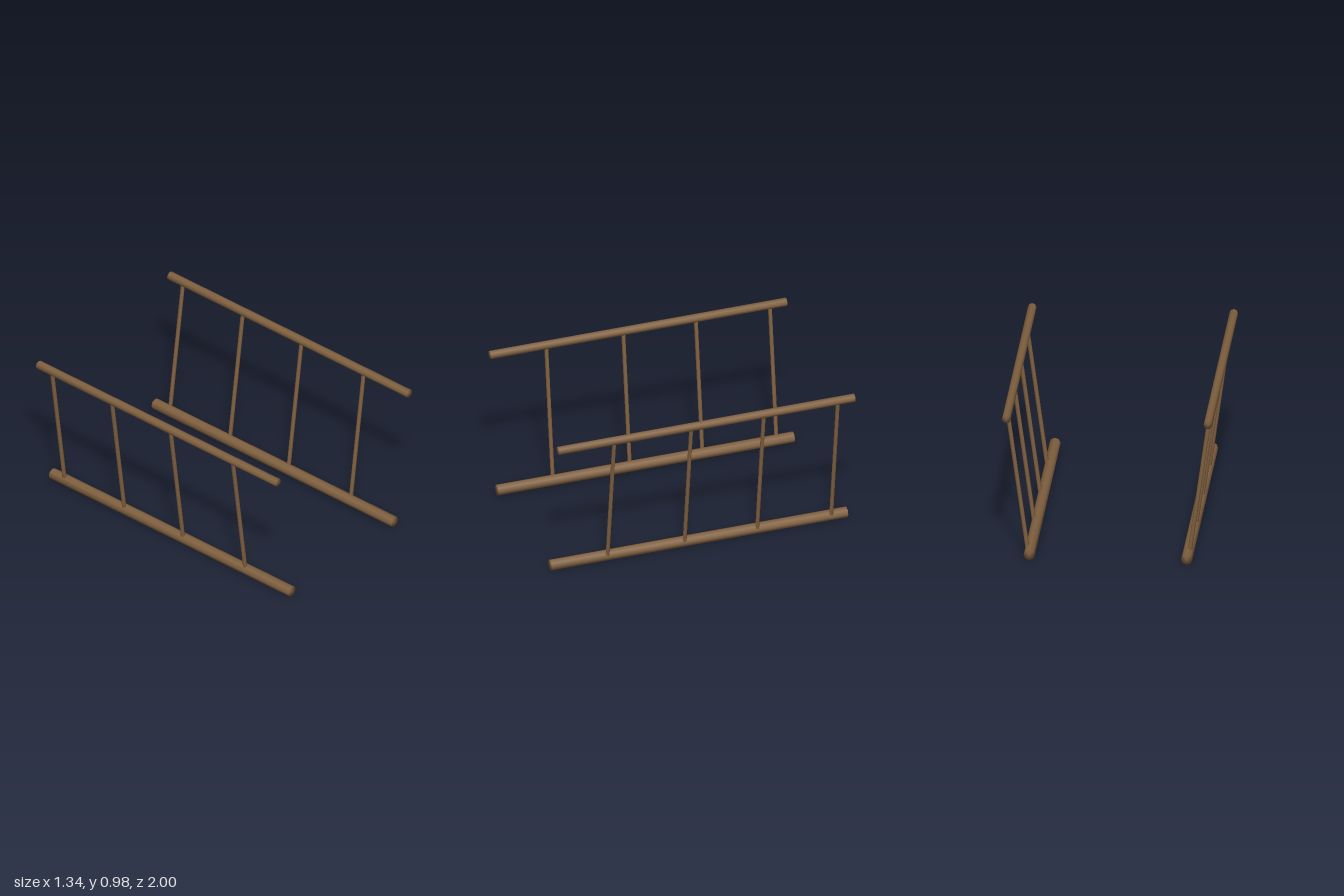
import * as THREE from 'three';
import { mergeVertices } from 'three/addons/utils/BufferGeometryUtils.js';

const wood = new THREE.MeshStandardMaterial({ color: 0x80603f });
wood.name = 'brown wood';

// Eight-sided pole between two points, with normals smoothed over the ends
function pole(name, from, to, radius) {
  const a = new THREE.Vector3(...from);
  const b = new THREE.Vector3(...to);
  let geometry = new THREE.CylinderGeometry(radius, radius, a.distanceTo(b), 8);
  geometry.deleteAttribute('normal');
  geometry.deleteAttribute('uv');
  geometry = mergeVertices(geometry);
  geometry.computeVertexNormals();
  const mesh = new THREE.Mesh(geometry, wood);
  mesh.name = name;
  mesh.position.copy(a).add(b).multiplyScalar(0.5);
  mesh.quaternion.setFromUnitVectors(new THREE.Vector3(0, 1, 0), b.sub(a).normalize());
  return mesh;
}

// One railing leaning outwards: thick foot rail, thinner hand rail, four posts
function railing(name, side, footX) {
  const group = new THREE.Group();
  group.name = name;
  const topX = side * 0.643;
  const postX = side * 0.518;
  group.add(pole('footRail', [footX, 0.037, -1], [footX, 0.037, 1], 0.036));
  group.add(pole('handRail', [topX, 0.957, -1], [topX, 0.957, 1], 0.028));
  for (const z of [0.62, 0.1, -0.39, -0.89]) {
    group.add(pole('post', [postX, 0.05, z], [topX, 0.955, z], 0.0135));
  }
  return group;
}

export function createModel() {
  const model = new THREE.Group();
  model.name = 'bridgeRailings';
  model.add(railing('leftRailing', 1, 0.497));
  model.add(railing('rightRailing', -1, -0.508));
  return model;
}
